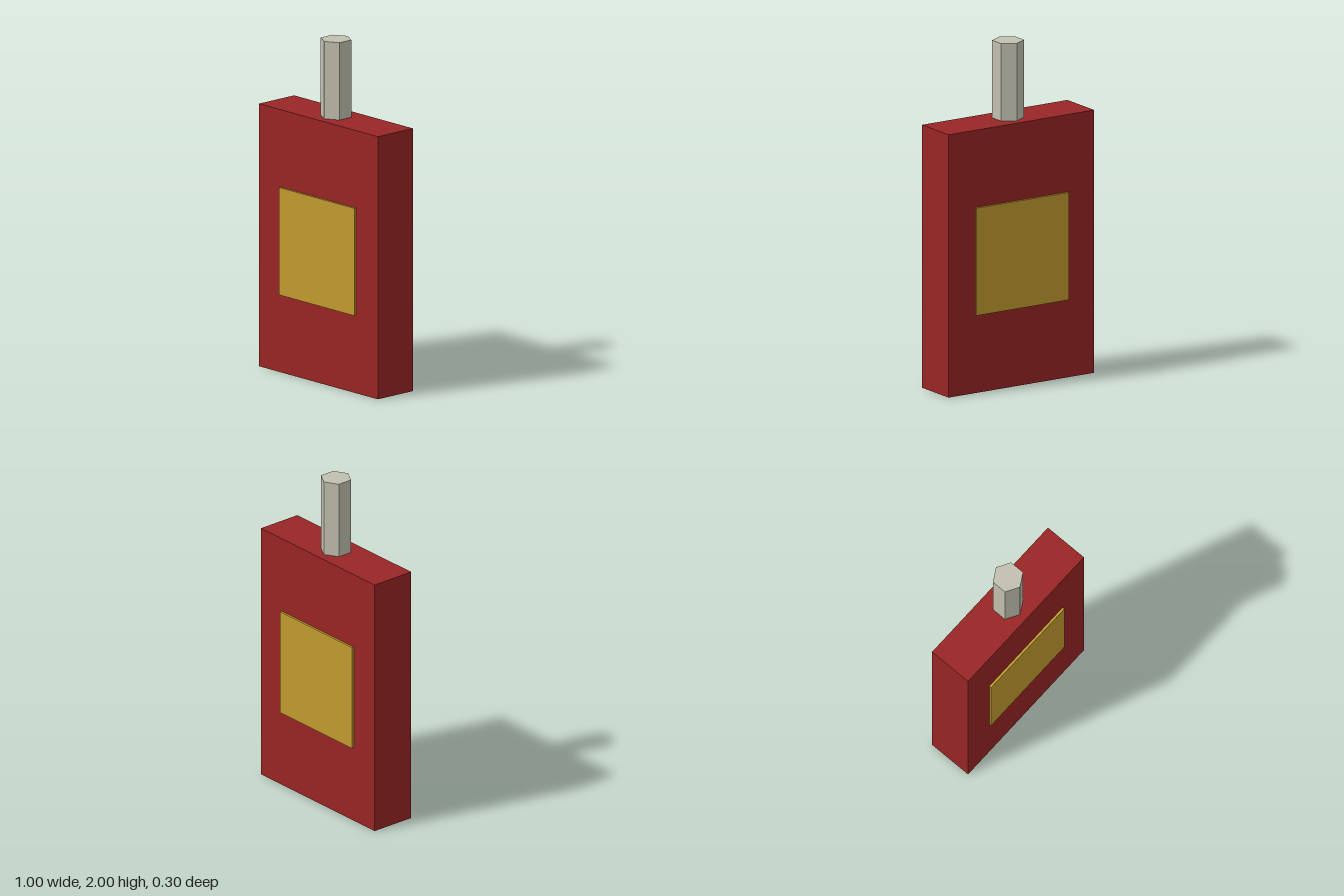
import * as THREE from 'three';

export function createModel() {
  const red = new THREE.MeshStandardMaterial({ color: 0x992525 });
  red.name = 'red';
  const gold = new THREE.MeshStandardMaterial({ color: 0xc29b2f });
  gold.name = 'gold';
  const grey = new THREE.MeshStandardMaterial({ color: 0xc2c0b0, flatShading: true });
  grey.name = 'warmGrey';

  const model = new THREE.Group();
  model.name = 'model';
  const add = (name, geometry, material, y, z = 0) => {
    const mesh = new THREE.Mesh(geometry, material);
    mesh.name = name;
    mesh.position.set(0, y, z);
    model.add(mesh);
  };

  // Slab body
  const height = 1.545, depth = 0.272;
  add('body', new THREE.BoxGeometry(1, height, depth), red, height / 2);

  // Raised square panels on the front and back
  const raise = 0.014;
  for (const [name, side] of [['frontPanel', 1], ['backPanel', -1]]) {
    add(name, new THREE.BoxGeometry(0.634, 0.632, raise), gold, 0.774, side * (depth + raise) / 2);
  }

  // Hexagonal post, corners facing front and back
  const postHeight = 2 - height;
  add('post', new THREE.CylinderGeometry(0.091, 0.091, postHeight, 6), grey, height + postHeight / 2);

  return model;
}
